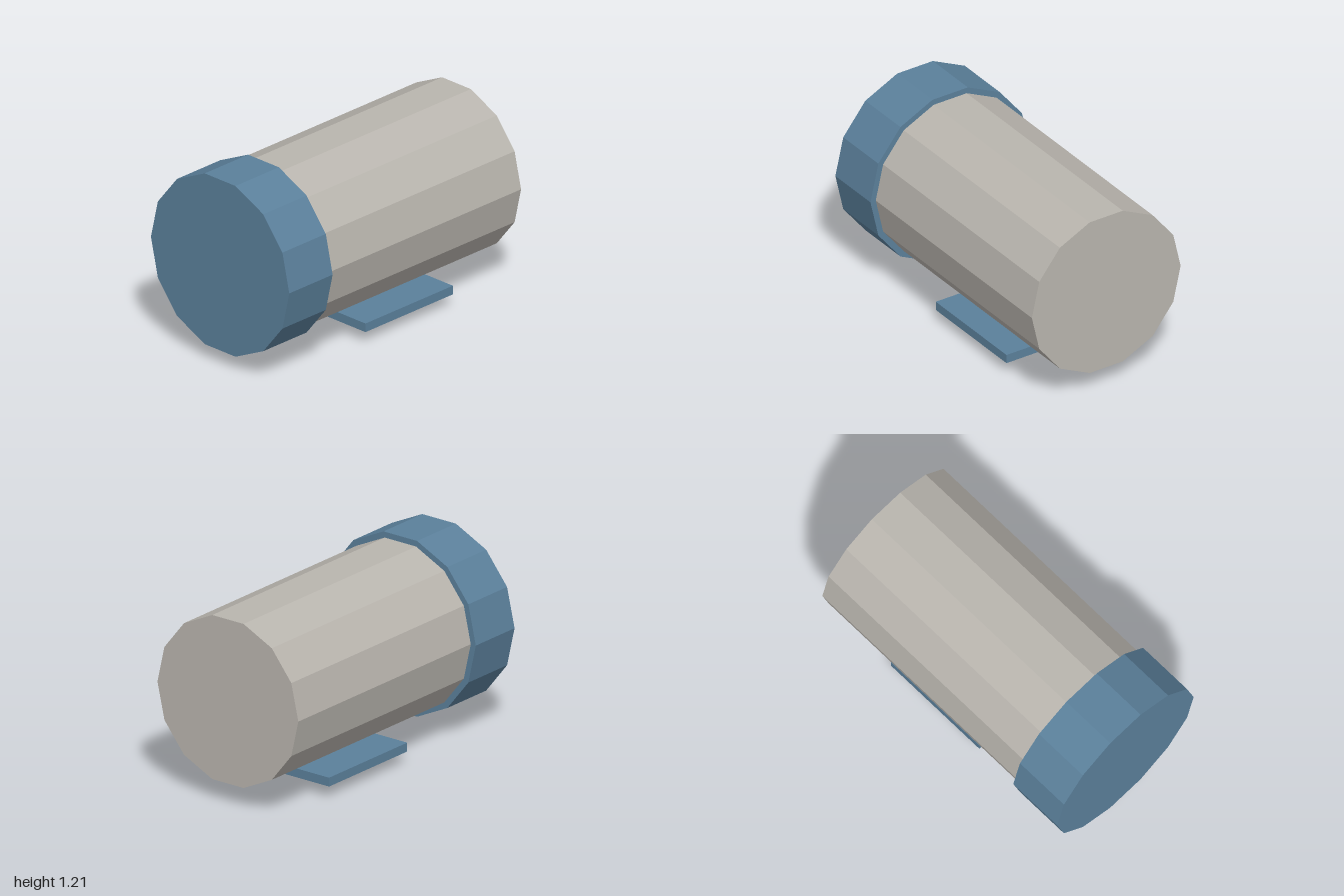
import * as THREE from 'three';

const blue = new THREE.MeshStandardMaterial({ color: 0x5b809b });
blue.name = 'steel blue';
const grey = new THREE.MeshStandardMaterial({ color: 0xb9b5ae });
grey.name = 'warm grey';
blue.flatShading = grey.flatShading = true;

// Faceted prism lying along z, with corners pointing to +x and -x
function prism(name, material, radius, sides, x, y, zBack, zFront) {
  const geometry = new THREE.CylinderGeometry(
    radius, radius, zFront - zBack, sides, 1, false, Math.PI / 2);
  geometry.rotateX(Math.PI / 2);
  const mesh = new THREE.Mesh(geometry, material);
  mesh.name = name;
  mesh.position.set(x, y, (zBack + zFront) / 2);
  return mesh;
}

export function createModel() {
  const group = new THREE.Group();
  group.name = 'canister';

  // Main barrel and the wider cap closing its front
  group.add(prism('barrel', grey, 0.532, 14, 0, 0.652, -1, 0.64));
  group.add(prism('frontCap', blue, 0.57, 14, 0, 0.652, 0.633, 1));

  // Mounting plate under the barrel
  const plate = new THREE.Mesh(new THREE.BoxGeometry(0.814, 0.056, 0.74), blue);
  plate.name = 'mountingPlate';
  plate.position.set(0, 0.105, -0.182);
  group.add(plate);

  // Hexagonal feet, half sunk into the plate
  for (const [name, side] of [['leftFoot', 1], ['rightFoot', -1]]) {
    group.add(prism(name, grey, 0.067, 6, side * 0.185, 0.058, -0.257, -0.037));
  }
  return group;
}
